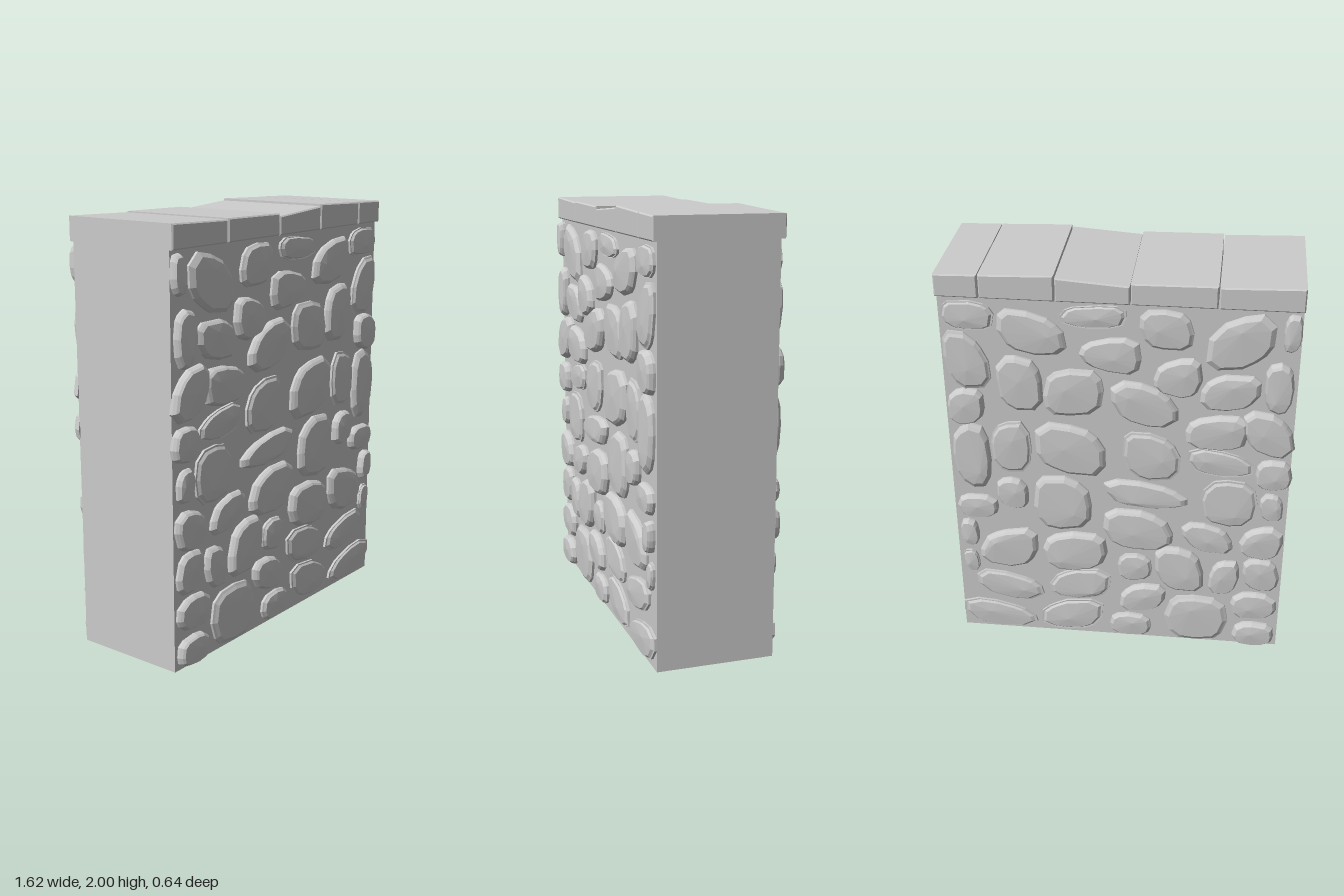
import * as THREE from 'three';

const HALF_W = 0.8, HALF_D = 0.275, WALL_H = 1.88;
const stoneMat = new THREE.MeshStandardMaterial({ color: 0xcccccc, flatShading: true });
const wallMat = new THREE.MeshStandardMaterial({ color: 0xcccccc, side: THREE.DoubleSide });

// Small seeded generator so the stones are irregular but repeatable
let seed = 7;
function rand() {
  seed = (seed * 16807) % 2147483647;
  return seed / 2147483647;
}

// Irregular stone outline filling the box w x h.
// lean > 0 stretches it towards upper right / lower left, taper > 0 widens its right end.
function stoneOutline(w, h, lean, taper) {
  const n = 12, pts = [];
  for (let i = 0; i < n; i++) {
    const t = ((i + 0.4 * (rand() - 0.5)) / n) * Math.PI * 2;
    const c = Math.cos(t), s = Math.sin(t);
    const r = (1 + lean * 0.35 * Math.sin(2 * t)) * (0.97 + 0.06 * rand());
    const x = Math.sign(c) * Math.abs(c) ** 0.75 * r;
    pts.push(new THREE.Vector2(x, Math.sign(s) * Math.abs(s) ** 0.75 * r * (1 + taper * x)));
  }
  const box = new THREE.Box2().setFromPoints(pts);
  const size = box.getSize(new THREE.Vector2()), mid = box.getCenter(new THREE.Vector2());
  return pts.map(p => new THREE.Vector2(((p.x - mid.x) / size.x) * w, ((p.y - mid.y) / size.y) * h));
}

// Faceted stone: outline rings stepping inwards to an off-centre peak, closed at the back.
// side = 1 faces +z, side = -1 is its mirror on the back.
function stoneGeometry(outline, top, peak, side) {
  const n = outline.length, pos = [], idx = [];
  const rings = [[1, HALF_D - 0.004], [1, HALF_D + 0.012], [0.93, top - 0.016], [0.84, top - 0.007]];
  for (const [k, z] of rings) {
    for (const p of outline) pos.push(p.x * k, p.y * k, z * side);
  }
  pos.push(peak.x, peak.y, top * side, 0, 0, (HALF_D - 0.004) * side);
  const tri = (a, b, c) => (side > 0 ? idx.push(a, b, c) : idx.push(a, c, b));
  const last = (rings.length - 1) * n, tip = rings.length * n;
  for (let i = 0; i < n; i++) {
    const j = (i + 1) % n;
    for (let r = 0; r < last; r += n) {
      tri(r + i, r + j, r + n + j);
      tri(r + i, r + n + j, r + n + i);
    }
    tri(last + i, last + j, tip);
    tri(j, i, tip + 1);
  }
  const g = new THREE.BufferGeometry();
  g.setAttribute('position', new THREE.Float32BufferAttribute(pos, 3));
  g.setIndex(idx);
  const flat = g.toNonIndexed();
  flat.computeVertexNormals();
  return flat;
}

// One course of stones, each [x, y, width, height, lean, taper], on both faces of the wall
function addCourse(group, name, stones) {
  const course = new THREE.Group();
  course.name = name;
  for (const [x, y, w, h, lean, taper] of stones) {
    const outline = stoneOutline(w, h, lean, taper);
    const top = 0.302 + 0.018 * rand();
    const peak = new THREE.Vector2((rand() - 0.5) * w * 0.5, (rand() - 0.5) * h * 0.5);
    for (const side of [1, -1]) {
      const mesh = new THREE.Mesh(stoneGeometry(outline, top, peak, side), stoneMat);
      mesh.name = side > 0 ? 'frontStone' : 'backStone';
      mesh.position.set(x, y, 0);
      course.add(mesh);
    }
  }
  group.add(course);
}

function addPanel(group, name, width, x, z, turn) {
  const mesh = new THREE.Mesh(new THREE.PlaneGeometry(width, WALL_H), wallMat);
  mesh.name = name;
  mesh.position.set(x, WALL_H / 2, z);
  mesh.rotation.y = turn;
  group.add(mesh);
}

// Coping block with a slightly sloping top and small chamfers
function addCoping(group, x0, x1, topLeft, topRight) {
  const b = 0.006, gap = 0.002, depth = 0.594;
  const l = x0 + b + gap, r = x1 - b - gap, low = WALL_H + b;
  const shape = new THREE.Shape([
    new THREE.Vector2(l, low), new THREE.Vector2(r, low),
    new THREE.Vector2(r, topRight - b), new THREE.Vector2(l, topLeft - b),
  ]);
  const geo = new THREE.ExtrudeGeometry(shape, {
    depth: depth - 2 * b, bevelEnabled: true, bevelSize: b, bevelThickness: b, bevelSegments: 1,
  });
  geo.translate(0, 0, b - depth / 2);
  const mesh = new THREE.Mesh(geo, stoneMat);
  mesh.name = 'copingBlock';
  group.add(mesh);
}

export function createModel() {
  seed = 7;
  const model = new THREE.Group();
  model.name = 'stoneWall';

  // Hollow core, open underneath
  const core = new THREE.Group();
  core.name = 'wallCore';
  addPanel(core, 'frontPanel', HALF_W * 2, 0, HALF_D, 0);
  addPanel(core, 'backPanel', HALF_W * 2, 0, -HALF_D, Math.PI);
  addPanel(core, 'leftEnd', HALF_D * 2, HALF_W, 0, Math.PI / 2);
  addPanel(core, 'rightEnd', HALF_D * 2, -HALF_W, 0, -Math.PI / 2);
  model.add(core);

  // Stones, from the ground up
  addCourse(model, 'course1', [
    [-0.68, 0.075, 0.21, 0.14, 0, 0], [-0.39, 0.15, 0.32, 0.28, 0, 0], [-0.06, 0.08, 0.21, 0.14, 0, 0],
    [0.24, 0.12, 0.32, 0.2, -0.5, -0.1], [0.61, 0.095, 0.38, 0.17, 0.5, 0.2],
  ]);
  addCourse(model, 'course2', [
    [-0.675, 0.255, 0.23, 0.16, 0, 0.1], [-0.12, 0.26, 0.23, 0.17, -0.5, 0],
    [0.195, 0.32, 0.31, 0.19, -0.4, -0.1], [0.55, 0.285, 0.34, 0.17, 0.6, 0.1],
  ]);
  addCourse(model, 'course3', [
    [-0.7, 0.45, 0.18, 0.19, 0.2, 0], [-0.52, 0.42, 0.15, 0.2, -0.4, 0], [-0.3, 0.455, 0.24, 0.26, 0.4, 0],
    [-0.08, 0.45, 0.17, 0.16, 0, 0.1], [0.215, 0.525, 0.32, 0.23, -0.2, 0], [0.545, 0.525, 0.29, 0.24, -0.4, -0.15],
    [0.74, 0.425, 0.08, 0.13, 0.3, 0],
  ]);
  addCourse(model, 'course4', [
    [-0.69, 0.645, 0.21, 0.19, -0.2, -0.15], [-0.43, 0.655, 0.25, 0.17, 0.6, 0], [-0.095, 0.68, 0.34, 0.23, 0.3, 0.1],
    [0.735, 0.605, 0.09, 0.15, 0.2, 0], [0.685, 0.765, 0.2, 0.13, 0, 0],
  ]);
  addCourse(model, 'course5', [
    [-0.725, 0.855, 0.11, 0.15, 0.2, 0], [-0.525, 0.86, 0.27, 0.27, 0, 0], [-0.13, 0.89, 0.4, 0.15, 0.5, 0.2],
    [0.27, 0.81, 0.28, 0.31, 0.15, 0.05], [0.51, 0.855, 0.15, 0.17, 0.2, 0],
  ]);
  addCourse(model, 'course6', [
    [-0.725, 1.04, 0.17, 0.16, 0, 0], [-0.475, 1.09, 0.31, 0.15, 0.5, 0.15], [-0.155, 1.1, 0.27, 0.26, 0.3, 0.1],
    [0.225, 1.12, 0.33, 0.28, 0.4, 0], [0.505, 1.115, 0.19, 0.28, -0.1, -0.1], [0.695, 1.055, 0.18, 0.36, 0.1, -0.1],
  ]);
  addCourse(model, 'course7', [
    [-0.69, 1.26, 0.24, 0.24, 0.6, 0], [-0.455, 1.255, 0.29, 0.18, -0.2, -0.1], [-0.12, 1.385, 0.31, 0.23, 0.6, 0.1],
    [0.205, 1.425, 0.28, 0.24, -0.2, 0], [0.45, 1.46, 0.21, 0.28, 0.2, 0], [0.705, 1.325, 0.17, 0.19, -0.2, 0],
  ]);
  addCourse(model, 'course8', [
    [-0.72, 1.5, 0.13, 0.26, 0.1, 0], [-0.505, 1.465, 0.27, 0.18, -0.4, 0], [-0.27, 1.53, 0.22, 0.2, -0.2, -0.2],
    [0.035, 1.625, 0.28, 0.18, 0, -0.3], [0.385, 1.72, 0.31, 0.22, 0.5, 0.1], [0.685, 1.565, 0.21, 0.29, 0.5, 0.1],
  ]);
  addCourse(model, 'course9', [
    [-0.76, 1.775, 0.08, 0.18, -0.2, 0], [-0.54, 1.72, 0.3, 0.28, -0.6, 0], [-0.215, 1.765, 0.24, 0.19, 0.2, 0],
    [0.11, 1.81, 0.3, 0.11, -0.2, -0.1], [0.67, 1.79, 0.24, 0.14, 0.1, 0],
  ]);

  // Coping along the top: [left x, right x, left height, right height]
  const coping = new THREE.Group();
  coping.name = 'coping';
  for (const block of [
    [-0.806, -0.435, 1.99, 1.98], [-0.435, -0.055, 1.985, 1.98], [-0.055, 0.275, 1.967, 1.99],
    [0.275, 0.61, 2.0, 1.99], [0.61, 0.808, 1.99, 1.985],
  ]) addCoping(coping, ...block);
  model.add(coping);
  return model;
}
